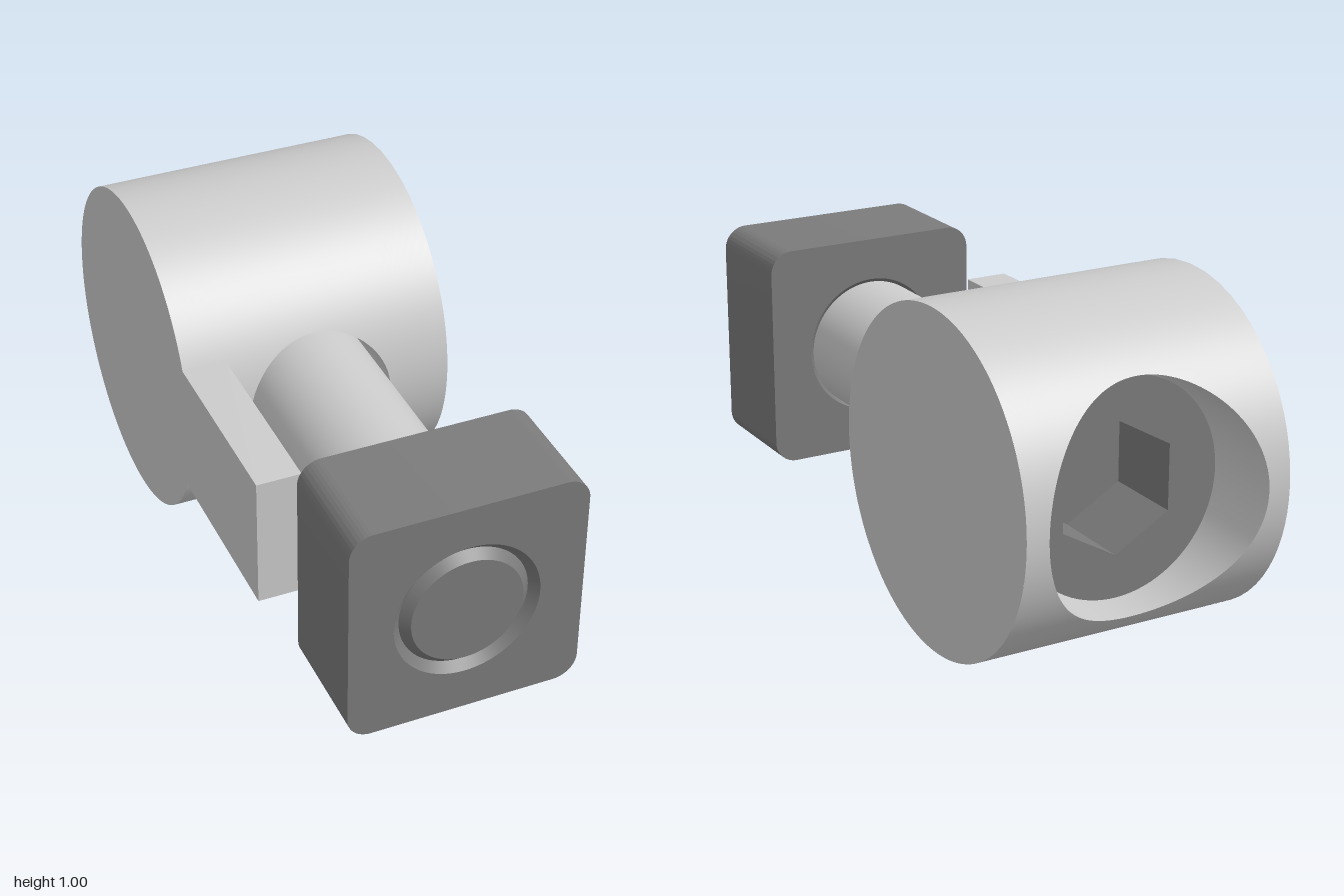
import * as THREE from 'three';
import { toCreasedNormals } from 'three/addons/utils/BufferGeometryUtils.js';

const R = 0.5, HALF = 0.413, AXIS_Y = 0.5, BARREL_Z = -0.5, FLOOR_Z = -0.4;
const SEG = 128;

// Closed ring grid running from an inner loop (v = 0) to an outer loop (v = 1)
function ringGrid(rows, flip, fn) {
  const pos = [], nor = [], idx = [];
  for (let j = 0; j <= rows; j++) {
    for (let i = 0; i <= SEG; i++) {
      const [p, n] = fn((i / SEG) * Math.PI * 2, j / rows);
      pos.push(...p);
      nor.push(...n);
      if (j === rows || i === SEG) continue;
      const a = j * (SEG + 1) + i, b = a + SEG + 1;
      idx.push(...(flip ? [a, b + 1, b, a, a + 1, b + 1] : [a, b, b + 1, a, b + 1, a + 1]));
    }
  }
  const g = new THREE.BufferGeometry();
  g.setAttribute('position', new THREE.Float32BufferAttribute(pos, 3));
  g.setAttribute('normal', new THREE.Float32BufferAttribute(nor, 3));
  g.setIndex(idx);
  return g;
}

// Half of the barrel skin, pierced by a round hole; side is +1 front, -1 back
function halfShell(r, side) {
  return ringGrid(18, side < 0, (t, v) => {
    const c = Math.cos(t), s = Math.sin(t), m = Math.max(Math.abs(c), Math.abs(s));
    const x = THREE.MathUtils.lerp(r * c, HALF * c / m, v);
    const a = THREE.MathUtils.lerp(Math.asin(r * s / R), Math.PI / 2 * s / m, v);
    const ny = Math.sin(a), nz = side * Math.cos(a);
    return [[x, AXIS_Y + R * ny, BARREL_Z + R * nz], [0, ny, nz]];
  });
}

// Wall of a hole from its floor out to the curved skin
function holeWall(r, side) {
  return ringGrid(1, side < 0, (t, v) => {
    const c = Math.cos(t), s = Math.sin(t);
    const edge = BARREL_Z + side * Math.sqrt(R * R - r * r * s * s);
    return [[r * c, AXIS_Y + r * s, v ? edge : FLOOR_Z], [-c, -s, 0]];
  });
}

function roundedSquare(h, r) {
  const s = new THREE.Shape();
  s.absarc(h - r, h - r, r, 0, Math.PI / 2);
  s.absarc(r - h, h - r, r, Math.PI / 2, Math.PI);
  s.absarc(r - h, r - h, r, Math.PI, Math.PI * 1.5);
  s.absarc(h - r, r - h, r, Math.PI * 1.5, Math.PI * 2);
  s.closePath();
  return s;
}

export function createModel() {
  const model = new THREE.Group();
  const light = new THREE.MeshStandardMaterial({ color: 0xcccccc });
  light.name = 'lightSteel';
  const dark = new THREE.MeshStandardMaterial({ color: 0x7b7b7b, side: THREE.DoubleSide });
  dark.name = 'darkSteel';

  const add = (parent, name, geo, mat, x = 0, y = AXIS_Y, z = 0) => {
    const mesh = new THREE.Mesh(geo, mat);
    mesh.name = name;
    mesh.position.set(x, y, z);
    parent.add(mesh);
    return mesh;
  };
  const group = (name) => {
    const g = new THREE.Group();
    g.name = name;
    model.add(g);
    return g;
  };
  // Cylinder lying along z between two positions
  const rod = (parent, name, r, z0, z1, mat, r1 = r) =>
    add(parent, name, new THREE.CylinderGeometry(r1, r, z1 - z0, 96).rotateX(Math.PI / 2),
      mat, 0, AXIS_Y, (z0 + z1) / 2);
  const extrude = (shape, depth) => toCreasedNormals(
    new THREE.ExtrudeGeometry(shape, { depth, bevelEnabled: false, curveSegments: 64 }), 0.5);

  // Cross barrel with a wide counterbore behind and a clearance hole in front
  const barrel = group('barrel');
  for (const [name, r, side] of [['front', 0.225, 1], ['back', 0.345, -1]]) {
    add(barrel, name + 'Shell', halfShell(r, side), light, 0, 0);
    add(barrel, name + 'HoleWall', holeWall(r, side), light, 0, 0);
    add(barrel, side > 0 ? 'leftEnd' : 'rightEnd',
      new THREE.CircleGeometry(R, SEG).rotateY(side * Math.PI / 2), light, side * HALF, AXIS_Y, BARREL_Z);
  }
  add(barrel, 'counterboreFloor', new THREE.RingGeometry(0.2, 0.345, 96).rotateY(Math.PI),
    light, 0, AXIS_Y, FLOOR_Z);

  // Locating tongue flush with the barrel's right end
  add(model, 'tongue', new THREE.BoxGeometry(0.133, 0.41, 0.575), light, -0.3465, AXIS_Y, 0.2425);

  // Screw: shaft, chamfered tip, and head with a hexagonal socket
  const screw = group('screw');
  rod(screw, 'shaft', 0.205, FLOOR_Z, 0.66, light);
  rod(screw, 'threadedEnd', 0.19, 0.66, 0.975, dark);
  rod(screw, 'tip', 0.19, 0.975, 1, dark, 0.165);
  const head = new THREE.Shape().absarc(0, 0, 0.322, 0, Math.PI * 2);
  const hex = Array.from({ length: 6 }, (_, i) => {
    const a = Math.PI / 2 + i * Math.PI / 3;
    return new THREE.Vector2(0.195 * Math.cos(a), 0.195 * Math.sin(a));
  });
  head.holes.push(new THREE.Path(hex));
  add(screw, 'socketHead', extrude(head, 0.25), dark, 0, AXIS_Y, -0.78);
  rod(screw, 'headBase', 0.322, -0.53, FLOOR_Z - 0.005, dark);

  // Square nut with a chamfered bore
  const nut = group('nut');
  const outline = roundedSquare(0.345, 0.07);
  outline.holes.push(new THREE.Path().absarc(0, 0, 0.215, 0, Math.PI * 2, true));
  add(nut, 'nutBody', extrude(outline, 0.345), dark, 0, AXIS_Y, 0.655);
  const bore = [[0.215, 0], [0.19, 0.025], [0.19, 0.32], [0.215, 0.345]];
  const boreGeo = new THREE.LatheGeometry(bore.map(([x, y]) => new THREE.Vector2(x, y)), 96);
  add(nut, 'chamferedBore', toCreasedNormals(boreGeo.rotateX(Math.PI / 2), 0.5), dark, 0, AXIS_Y, 0.655);

  return model;
}
